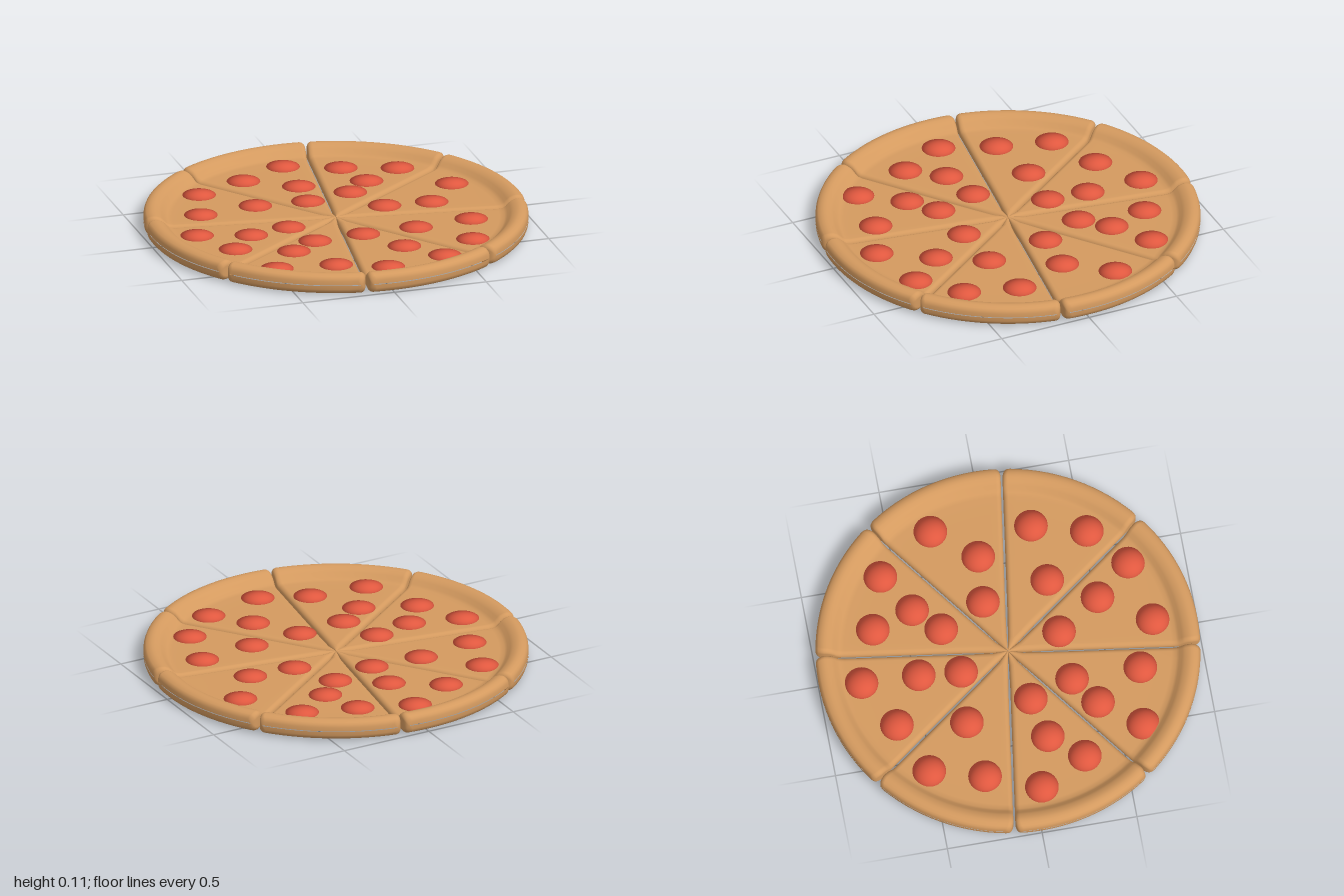
import * as THREE from 'three';

const SLICES = 8;
const HALF_ANGLE = Math.PI / SLICES;

// Rounded-rectangle cross-section, counter-clockwise, as [sideways, height] points
function sectionLoop(halfWidth, y0, y1, radius) {
  const c = Math.min(radius, halfWidth * 0.9, (y1 - y0) * 0.48);
  const corners = [
    [halfWidth - c, y0 + c, -Math.PI / 2], [halfWidth - c, y1 - c, 0],
    [-halfWidth + c, y1 - c, Math.PI / 2], [-halfWidth + c, y0 + c, Math.PI],
  ];
  const points = [];
  const steps = 14;
  corners.forEach(([cx, cy, start], k) => {
    for (let i = 0; i <= 5; i++) {
      const a = start + (i / 5) * Math.PI / 2;
      points.push([cx + c * Math.cos(a), cy + c * Math.sin(a)]);
    }
    // subdivide the long top and bottom runs so they follow the arc
    if (k === 1 || k === 3) {
      const dir = k === 1 ? -1 : 1;
      const y = k === 1 ? y1 : y0;
      for (let i = 1; i < steps; i++) points.push([dir * (halfWidth - c) * (2 * i / steps - 1), y]);
    }
  });
  return points;
}

// One wedge from tip to crust: [radius, bottom, top, extra side inset]
function sliceGeometry() {
  const stations = [
    [0.002, 0, 0.055, 0], [0.08, 0, 0.055, 0], [0.2, 0, 0.055, 0], [0.4, 0, 0.055, 0],
    [0.6, 0, 0.055, 0], [0.75, 0, 0.055, 0], [0.85, 0, 0.055, 0], [0.875, 0, 0.059, 0],
    [0.89, 0, 0.07, 0], [0.905, 0, 0.086, 0], [0.92, 0, 0.098, 0], [0.94, 0, 0.106, 0],
    [0.955, 0, 0.108, 0], [0.97, 0.002, 0.106, 0.003], [0.985, 0.009, 0.099, 0.008],
    [0.994, 0.018, 0.09, 0.015], [0.999, 0.032, 0.076, 0.024], [1, 0.052, 0.056, 0.03],
  ];
  const positions = [];
  const index = [];
  let count = 0;
  stations.forEach(([r, y0, y1, inset], i) => {
    const halfWidth = r * HALF_ANGLE - Math.min(0.005, r * 0.03) - inset;
    const loop = sectionLoop(halfWidth, y0, y1, 0.026);
    count = loop.length;
    loop.forEach(([s, y], j) => {
      const a = s / r;
      positions.push(r * Math.sin(a), y, r * Math.cos(a));
      if (i === stations.length - 1) return;
      const p = i * count + j;
      const q = i * count + (j + 1) % count;
      index.push(p, q, q + count, p, q + count, p + count);
    });
  });
  const geometry = new THREE.BufferGeometry();
  geometry.setAttribute('position', new THREE.Float32BufferAttribute(positions, 3));
  geometry.setIndex(index);
  geometry.computeVertexNormals();
  return geometry;
}

// Flattened dome that keeps its round shading
function toppingGeometry() {
  const geometry = new THREE.SphereGeometry(0.088, 32, 10, 0, Math.PI * 2, 0, Math.PI / 2);
  const p = geometry.attributes.position;
  for (let i = 0; i < p.count; i++) p.setY(i, p.getY(i) * 0.2);
  return geometry;
}

export function createModel() {
  const model = new THREE.Group();
  model.name = 'pizza';
  const dough = new THREE.MeshStandardMaterial({ color: 0xd49a5f });
  dough.name = 'baked dough';
  const red = new THREE.MeshStandardMaterial({ color: 0xe0583f });
  red.name = 'sausage red';

  // Eight equal slices with raised crusts
  const slice = sliceGeometry();
  for (let i = 0; i < SLICES; i++) {
    const mesh = new THREE.Mesh(slice, dough);
    mesh.name = 'slice' + (i + 1);
    mesh.rotation.y = THREE.MathUtils.degToRad(59.3) + i * HALF_ANGLE * 2;
    model.add(mesh);
  }

  // Sausage rounds scattered over the slices, as [x, z]
  const spots = [
    [-0.04, -0.78], [-0.3, -0.64], [-0.05, -0.48], [-0.07, -0.26], [0.24, -0.67],
    [0.52, -0.58], [0.31, -0.45], [0.18, -0.32], [0.72, -0.28], [0.29, -0.08],
    [0.54, -0.06], [0.66, 0.24], [0.35, 0.27], [0.58, 0.52], [0.06, 0.28],
    [0.21, 0.51], [0.37, 0.7], [0.04, 0.77], [-0.21, 0.3], [-0.36, 0.41],
    [-0.52, 0.62], [-0.21, 0.66], [-0.28, 0.07], [-0.5, 0.12], [-0.77, 0.04],
    [-0.64, 0.29], [-0.58, -0.52], [-0.66, -0.24], [-0.35, -0.28],
  ];
  const topping = toppingGeometry();
  const toppings = new THREE.Group();
  toppings.name = 'sausageRounds';
  spots.forEach(([x, z], i) => {
    const mesh = new THREE.Mesh(topping, red);
    mesh.name = 'sausageRound' + (i + 1);
    mesh.position.set(x, 0.054, z);
    toppings.add(mesh);
  });
  model.add(toppings);
  return model;
}
